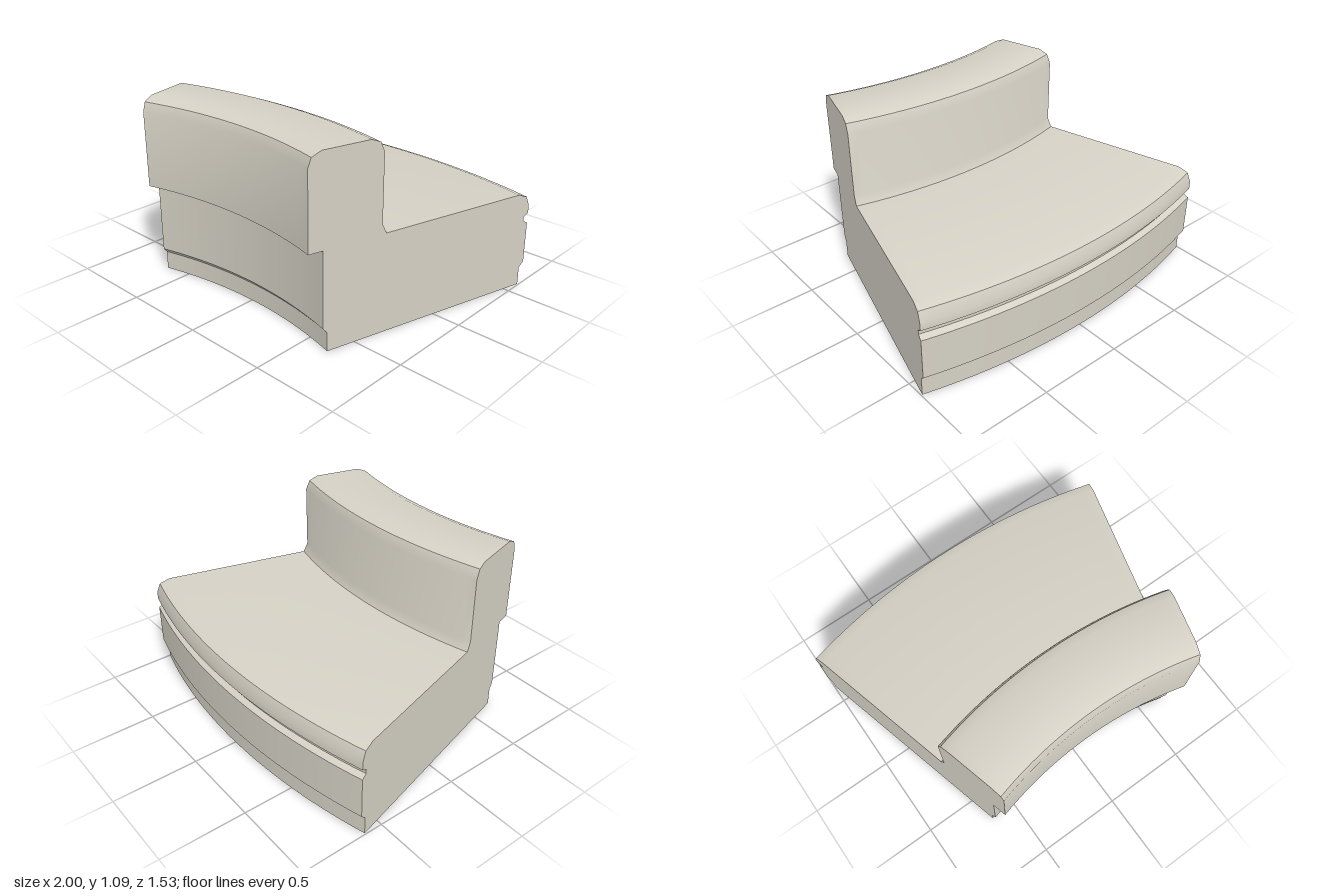
import * as THREE from 'three';
import { toCreasedNormals } from 'three/addons/utils/BufferGeometryUtils.js';

const HALF_ANGLE = Math.PI / 12; // the section spans 30 degrees
const CENTRE_Z = 3.1;            // centre of the curve, in front of the model
const STEPS = 28;

// Side profile at the cut end, as [z, y]
const profile = [
  // plinth, recessed body and overhang of the backrest
  [0.66, 0], [0.66, 0.11], [0.685, 0.14], [0.685, 0.575], [0.764, 0.575],
  // rounded top of the backrest
  [0.764, 1.015], [0.745, 1.068], [0.69, 1.092], [0.42, 1.092], [0.368, 1.07], [0.345, 1.015],
  // foot of the backrest and seat
  [0.345, 0.63], [0.32, 0.575], [-0.555, 0.575],
  // rounded seat edge
  [-0.613, 0.552], [-0.635, 0.495], [-0.635, 0.448],
  // groove, seat front and plinth
  [-0.606, 0.43], [-0.606, 0.404], [-0.635, 0.385], [-0.635, 0.14], [-0.606, 0.11], [-0.606, 0],
];

// Extrude the profile, then wrap the extrusion around the centre of the curve
function curvedSection() {
  const shape = new THREE.Shape(
    profile.map(([z, y]) => new THREE.Vector2((CENTRE_Z - z) / Math.cos(HALF_ANGLE), y)));
  const geometry = new THREE.ExtrudeGeometry(shape, {
    depth: 2 * HALF_ANGLE, steps: STEPS, bevelEnabled: false,
  });
  const p = geometry.attributes.position;
  for (let i = 0; i < p.count; i++) {
    const r = p.getX(i), a = p.getZ(i) - HALF_ANGLE;
    p.setXYZ(i, r * Math.sin(a), p.getY(i), CENTRE_Z - r * Math.cos(a));
  }
  geometry.clearGroups();
  return toCreasedNormals(geometry, 0.6);
}

export function createModel() {
  const upholstery = new THREE.MeshStandardMaterial({ color: 0xd5d1c5 });
  upholstery.name = 'upholstery';

  const model = new THREE.Group();
  model.name = 'curvedSofaSection';
  const section = new THREE.Mesh(curvedSection(), upholstery);
  section.name = 'seatAndBackrest';
  model.add(section);
  return model;
}
